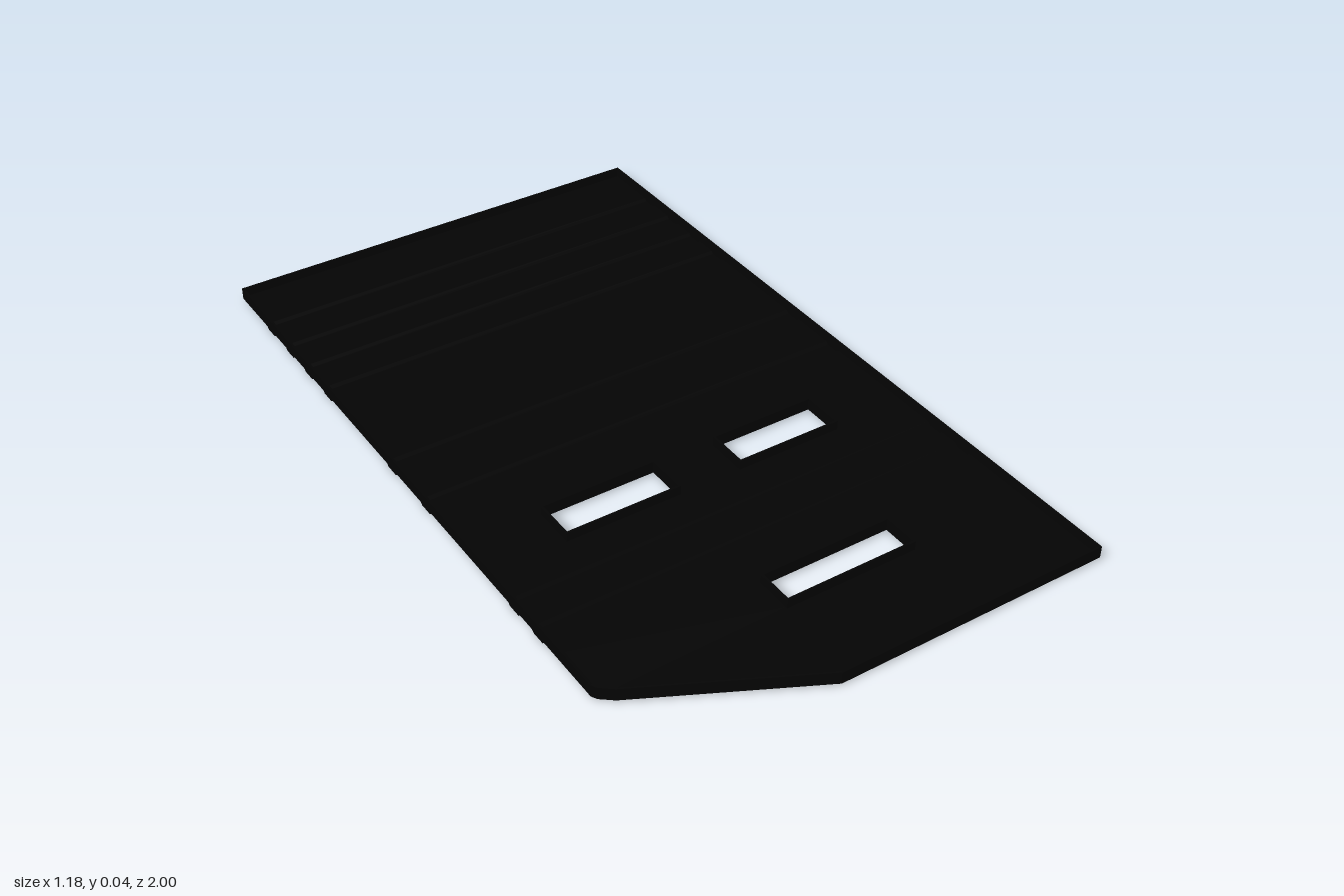
import * as THREE from 'three';

const HALF_WIDTH = 0.59, BOTTOM = 0.007, SHEET = 0.006, TOP = 0.038, LIP = 0.005;
const material = new THREE.MeshStandardMaterial({ color: 0x040404, flatShading: true });

function addMesh(group, name, geometry) {
  const mesh = new THREE.Mesh(geometry, material);
  mesh.name = name;
  group.add(mesh);
  return mesh;
}

// Thin sheet with shallow pressed channels running across x
function ribbedSheet(z0, z1, ribs) {
  const lower = [[z0, BOTTOM]];
  for (const z of ribs) lower.push([z - 0.026, BOTTOM], [z - 0.019, 0], [z + 0.019, 0], [z + 0.026, BOTTOM]);
  lower.push([z1, BOTTOM]);
  const upper = lower.map(([z, y]) => [z, y + SHEET]).reverse();
  const shape = new THREE.Shape([...lower, ...upper].map(([z, y]) => new THREE.Vector2(z, y)));
  const geometry = new THREE.ExtrudeGeometry(shape, { depth: 2 * HALF_WIDTH, bevelEnabled: false });
  return geometry.translate(0, 0, -HALF_WIDTH).rotateY(-Math.PI / 2);
}

// Thin flat sheet from an [x, z] outline, with openings cut out
function flatSheet(outline, openings) {
  const toPoints = (list) => list.map(([x, z]) => new THREE.Vector2(x, -z));
  const shape = new THREE.Shape(toPoints(outline));
  shape.holes = openings.map((corners) => new THREE.Path(toPoints(corners)));
  const geometry = new THREE.ExtrudeGeometry(shape, { depth: SHEET, bevelEnabled: false });
  return geometry.rotateX(-Math.PI / 2).translate(0, BOTTOM, 0);
}

// Upright lip along a closed [x, z] path, on the sheet's side of the line
function addLip(group, name, path, overlap) {
  const y0 = SHEET, height = TOP - y0;
  path.forEach(([x, z], i) => {
    const [x2, z2] = path[(i + 1) % path.length];
    const dx = x2 - x, dz = z2 - z, length = Math.hypot(dx, dz);
    const wall = addMesh(group, name, new THREE.BoxGeometry(length + 2 * overlap, height, LIP));
    wall.position.set(
      (x + x2) / 2 + (dz / length) * LIP / 2,
      y0 + height / 2,
      (z + z2) / 2 - (dx / length) * LIP / 2
    );
    wall.rotation.y = -Math.atan2(dz, dx);
  });
}

const rectangle = (x0, x1, z0, z1) => [[x0, z0], [x1, z0], [x1, z1], [x0, z1]];

export function createModel() {
  const group = new THREE.Group();
  group.name = 'ribbedTray';
  const W = HALF_WIDTH;
  const cutCorner = [[-W, 0.75], [-0.582, 0.764], [-0.552, 0.788], [-0.135, 1]];
  const pairedSlots = [rectangle(-0.38, -0.08, 0.208, 0.312), rectangle(0.097, 0.375, 0.208, 0.312)];
  const frontSlot = rectangle(-0.095, 0.25, 0.668, 0.757);

  // Floor, alternating ribbed and slotted stretches
  addMesh(group, 'rearRibbedFloor', ribbedSheet(-1, 0.15, [-0.82, -0.705, -0.595, -0.485, -0.138, 0.032]));
  addMesh(group, 'middleSlottedFloor', flatSheet([[-W, 0.15], [-W, 0.37], [W, 0.37], [W, 0.15]], pairedSlots));
  addMesh(group, 'frontRibbedFloor', ribbedSheet(0.37, 0.61, [0.437, 0.538]));
  addMesh(group, 'frontSlottedFloor', flatSheet([[-W, 0.61], ...cutCorner, [W, 1], [W, 0.61]], [frontSlot]));

  // Raised lips round the outside and round each slot
  addLip(group, 'outerLip', [[-W, -1], ...cutCorner, [W, 1], [W, -1]], 0);
  for (const slot of [...pairedSlots, frontSlot]) addLip(group, 'slotLip', slot, LIP);
  return group;
}
